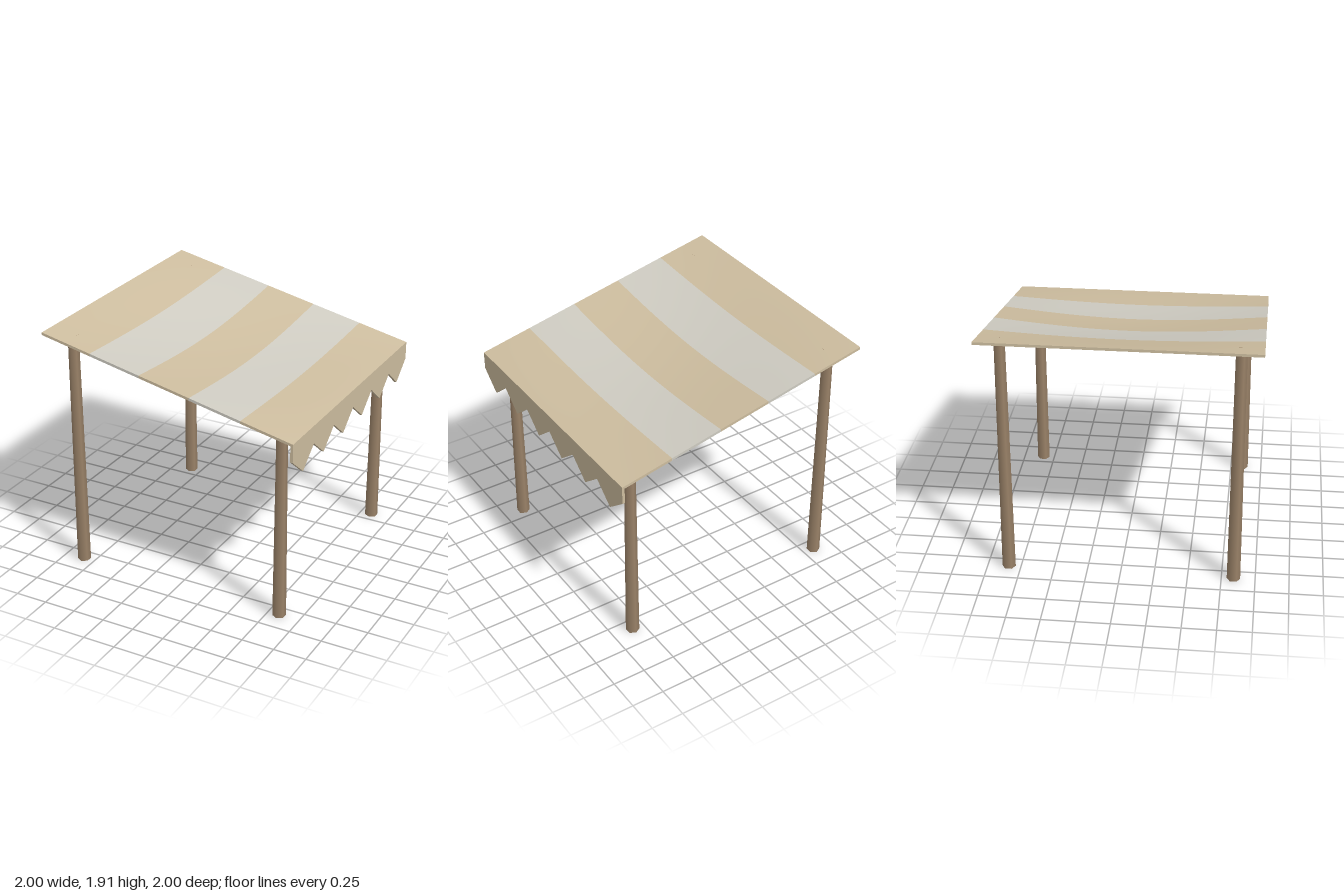
import * as THREE from 'three';

const material = (name, color) => {
  const m = new THREE.MeshStandardMaterial({ color });
  m.name = name;
  return m;
};

// Height of the sloping cloth's middle layer, sagging towards the centre
function clothHeight(x, z) {
  const bulge = (t) => Math.max(0, Math.cos((t * Math.PI) / 2));
  return 1.69 - 0.21 * x - 0.066 * bulge(x) ** 1.3 * bulge(z);
}

export function createModel() {
  const tan = material('tan cloth', 0xcdbd9f);
  const grey = material('pale grey cloth', 0xcfccc2);
  const wood = material('brown wood', 0x9a8268);

  const group = new THREE.Group();
  group.name = 'awning';
  const add = (name, geometry, mat) => {
    const mesh = new THREE.Mesh(geometry, mat);
    mesh.name = name;
    group.add(mesh);
    return mesh;
  };

  // Canopy: five striped slabs bent to the sagging surface
  for (let i = 0; i < 5; i++) {
    const geometry = new THREE.BoxGeometry(0.4, 0.02, 2, 5, 1, 24);
    geometry.translate(-0.8 + i * 0.4, 0, 0);
    const p = geometry.attributes.position;
    for (let v = 0; v < p.count; v++) {
      p.setY(v, p.getY(v) + clothHeight(p.getX(v), p.getZ(v)));
    }
    geometry.computeVertexNormals();
    add('canopyStripe' + (i + 1), geometry, i % 2 ? grey : tan);
  }

  // Zigzag valance hanging from the low edge
  const teeth = 6;
  const step = 2 / teeth;
  const shape = new THREE.Shape();
  shape.moveTo(-1, 1.485);
  shape.lineTo(-1, 1.352);
  for (let i = 0; i < teeth; i++) {
    shape.lineTo(-1 + (i + 0.5) * step, 1.215);
    shape.lineTo(-1 + (i + 1) * step, 1.352);
  }
  shape.lineTo(1, 1.485);
  const valance = new THREE.ExtrudeGeometry(shape, { depth: 0.02, bevelEnabled: false });
  valance.rotateY(Math.PI / 2).translate(0.98, 0, 0);
  add('valance', valance, tan);

  // Four tapered six-sided posts, taller on the high side
  for (const sx of [-1, 1]) {
    const height = sx < 0 ? 1.866 : 1.512;
    for (const sz of [-1, 1]) {
      const post = new THREE.CylinderGeometry(0.04, 0.05, height, 6);
      post.translate(sx * 0.84, height / 2, sz * 0.84);
      add((sx < 0 ? 'tall' : 'short') + (sz > 0 ? 'Front' : 'Back') + 'Post', post, wood);
    }
  }

  return group;
}
